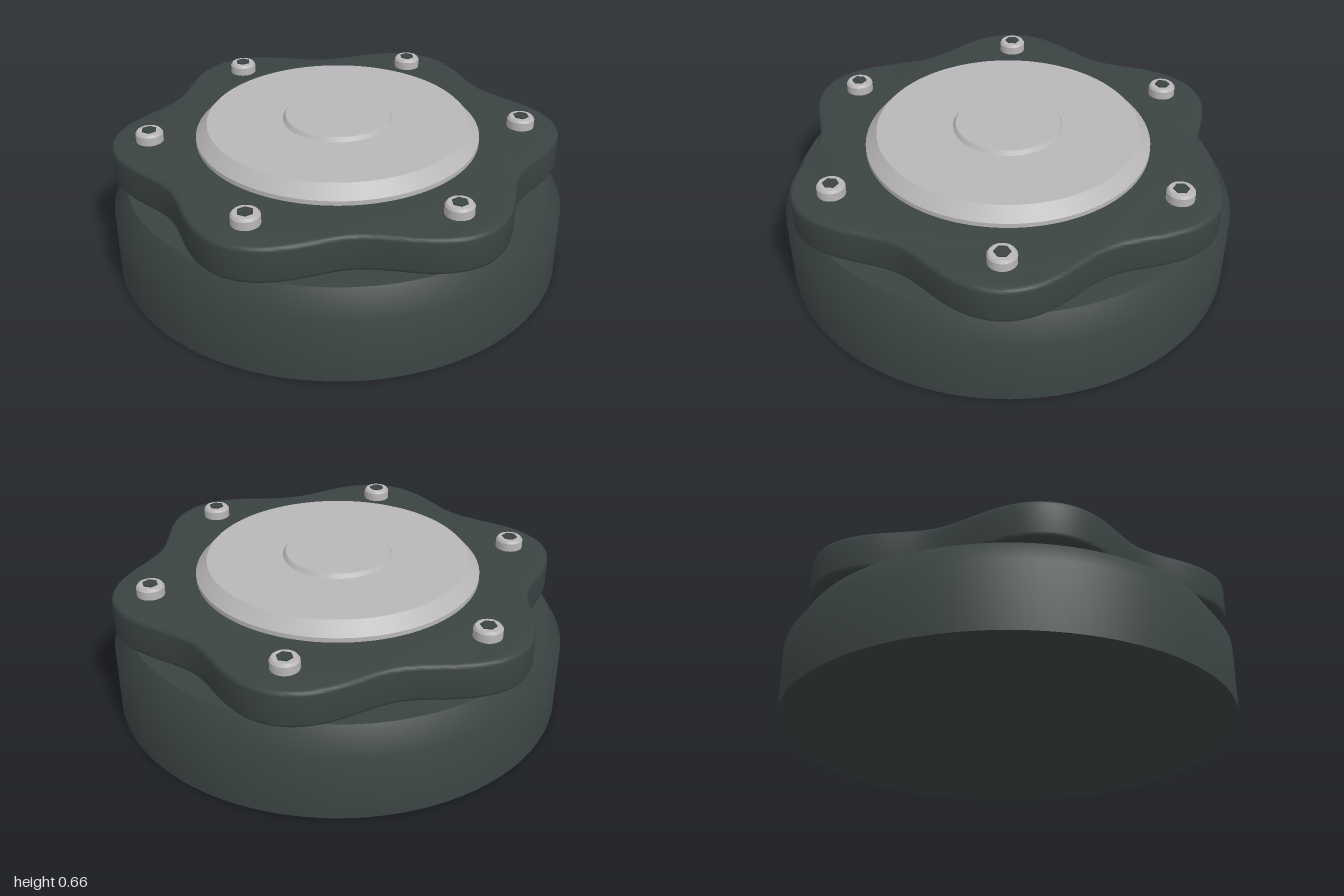
import * as THREE from 'three';
import { toCreasedNormals } from 'three/addons/utils/BufferGeometryUtils.js';

const material = (name, color) => {
  const m = new THREE.MeshStandardMaterial({ color });
  m.name = name;
  return m;
};

export function createModel() {
  const dark = material('darkGrey', 0x3b4343);
  const metal = material('lightMetal', 0xb8b6b9);
  const model = new THREE.Group();
  model.name = 'hub';

  const add = (parent, name, geometry, mat) => {
    const mesh = new THREE.Mesh(geometry, mat);
    mesh.name = name;
    parent.add(mesh);
    return mesh;
  };
  // Profile of [radius, height] pairs, from the bottom axis up to the top axis
  const turned = (profile, segments, crease) => toCreasedNormals(
    new THREE.LatheGeometry(profile.map(([r, y]) => new THREE.Vector2(r, y)), segments), crease);

  // Round base with a chamfered shoulder
  add(model, 'base', turned([[0, 0], [1, 0], [1, 0.295], [0.936, 0.4], [0, 0.4]], 128, 0.65), dark);

  // Six-lobed plate with rounded edges
  const bevel = 0.02;
  const outline = [];
  for (let i = 0; i < 180; i++) {
    const a = (i / 180) * Math.PI * 2;
    const r = 0.915 - 0.075 * Math.cos(6 * a) - bevel;
    outline.push(new THREE.Vector2(r * Math.cos(a), r * Math.sin(a)));
  }
  const plate = new THREE.ExtrudeGeometry(new THREE.Shape(outline), {
    depth: 0.163 - 2 * bevel, bevelEnabled: true, bevelSize: bevel,
    bevelThickness: bevel, bevelSegments: 4,
  });
  plate.rotateX(-Math.PI / 2).translate(0, 0.402 + bevel, 0);
  add(model, 'lobedPlate', toCreasedNormals(plate, 0.6), dark);

  // Bevelled metal cover, dished slightly around its raised centre
  add(model, 'cover', turned([
    [0, 0.56], [0.623, 0.56], [0.623, 0.585], [0.573, 0.64], [0.3, 0.643], [0, 0.643],
  ], 128, 0.5), metal);
  add(model, 'coverCentre', turned([
    [0, 0.64], [0.243, 0.64], [0.228, 0.661], [0, 0.661],
  ], 96, 0.5), metal);

  // Six socket screws, one on each lobe
  const headShape = turned([
    [0, 0.56], [0.06, 0.56], [0.06, 0.602], [0.052, 0.613], [0, 0.613],
  ], 32, 0.5);
  const socketShape = new THREE.CylinderGeometry(0.034, 0.034, 0.009, 6).toNonIndexed();
  socketShape.computeVertexNormals();
  socketShape.rotateY(Math.PI / 6);
  for (let i = 0; i < 6; i++) {
    const a = Math.PI / 6 + (i * Math.PI) / 3;
    const screw = new THREE.Group();
    screw.name = 'screw';
    screw.position.set(0.824 * Math.cos(a), 0, 0.824 * Math.sin(a));
    add(screw, 'screwHead', headShape, metal);
    add(screw, 'screwSocket', socketShape, dark).position.y = 0.613;
    model.add(screw);
  }
  return model;
}
